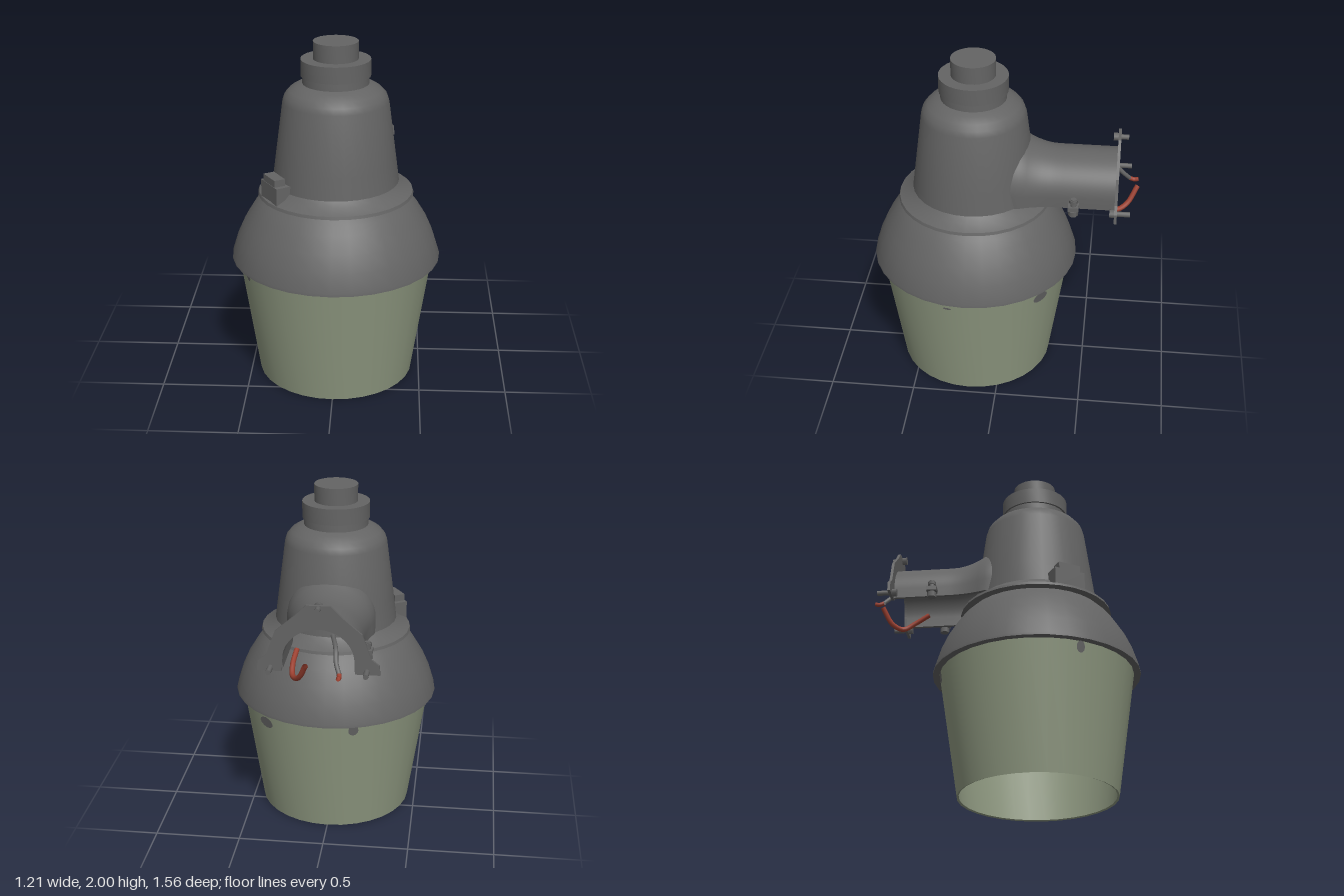
import * as THREE from 'three';
import { toCreasedNormals } from 'three/addons/utils/BufferGeometryUtils.js';

const AXIS_Z = 0.17; // the lamp body turns around x = 0, z = AXIS_Z

function material(name, color, side = THREE.DoubleSide) {
  const m = new THREE.MeshStandardMaterial({ color, side });
  m.name = name;
  return m;
}

export function createModel() {
  const root = new THREE.Group();
  root.name = 'yardLamp';
  const grey = material('grey metal', 0x646464);
  const green = material('green glass', 0x8e9880);
  const red = material('red wire', 0x9c4030);

  function add(name, geometry, mat, x = 0, y = 0, z = 0, parent = root) {
    const mesh = new THREE.Mesh(geometry, mat);
    mesh.name = name;
    mesh.position.set(x, y, z);
    parent.add(mesh);
    return mesh;
  }

  function lathe(name, profile, mat) {
    const pts = profile.map(([r, y]) => new THREE.Vector2(r, y));
    add(name, toCreasedNormals(new THREE.LatheGeometry(pts, 32), 0.6), mat, 0, 0, AXIS_Z);
  }

  // Glass shade, open at the bottom
  lathe('glassShade', [[0.555, 0.74], [0.443, 0.005], [0.455, 0], [0.567, 0.74]], green);

  // Bell-shaped lower housing with a rolled lip
  lathe('lowerHousing', [[0.55, 0.745], [0.565, 0.728], [0.605, 0.728], [0.603, 0.745], [0.57, 0.85],
    [0.53, 0.94], [0.475, 1.03], [0.44, 1.075], [0.4, 1.115]], grey);

  // Tapered upper housing with its flange
  lathe('upperHousing', [[0.4, 1.113], [0.447, 1.115], [0.442, 1.132], [0.39, 1.16], [0.362, 1.19],
    [0.345, 1.32], [0.3, 1.66], [0.288, 1.695], [0.262, 1.725], [0.22, 1.75], [0.188, 1.762],
    [0.186, 1.81]], grey);

  // Sensor collar and cap
  lathe('collar', [[0.186, 1.805], [0.197, 1.805], [0.197, 1.9], [0.12, 1.9]], grey);
  lathe('cap', [[0.127, 1.895], [0.127, 2], [0, 2]], grey);

  // Arm: an inverted channel which widens where it meets the housing
  const arch = new THREE.Shape();
  arch.moveTo(0.215, 1.19);
  arch.lineTo(0.215, 1.25);
  arch.absellipse(0, 1.25, 0.215, 0.2, 0, Math.PI, false);
  arch.lineTo(-0.215, 1.19);
  arch.lineTo(-0.195, 1.19);
  arch.lineTo(-0.195, 1.25);
  arch.absellipse(0, 1.25, 0.195, 0.18, Math.PI, 0, true);
  arch.lineTo(0.195, 1.19);
  const armGeo = new THREE.ExtrudeGeometry(arch, { depth: 0.67, steps: 16, bevelEnabled: false, curveSegments: 20 });
  armGeo.translate(0, 0, -0.652);
  const p = armGeo.attributes.position;
  for (let i = 0; i < p.count; i++) {
    const t = THREE.MathUtils.clamp((p.getZ(i) + 0.32) / 0.22, 0, 1);
    p.setX(i, p.getX(i) * (1 + 0.2 * t * t));
    p.setY(i, 1.19 + (p.getY(i) - 1.19) * (1 + 0.3 * t * t));
  }
  add('arm', toCreasedNormals(armGeo, 0.6), grey);

  // Mounting plate: an arch with two feet
  const plate = new THREE.Shape();
  const half = [[0.335, 1.18], [0.33, 1.235], [0.285, 1.27], [0.235, 1.41], [0.13, 1.5], [0.065, 1.565]];
  plate.moveTo(...half[0]);
  half.slice(1).forEach(([x, y]) => plate.lineTo(x, y));
  [...half].reverse().forEach(([x, y]) => plate.lineTo(-x, y));
  plate.lineTo(-0.2, 1.18);
  plate.lineTo(-0.195, 1.25);
  plate.absellipse(0, 1.25, 0.195, 0.18, Math.PI, 0, true);
  plate.lineTo(0.2, 1.18);
  const plateGeo = new THREE.ExtrudeGeometry(plate, { depth: 0.016, bevelEnabled: false, curveSegments: 20 });
  add('mountingPlate', plateGeo, grey, 0, 0, -0.667);

  // Plate bolts
  for (const [x, y, end] of [[-0.262, 1.2, -0.74], [0.262, 1.2, -0.74], [0, 1.55, -0.71]]) {
    const bolt = new THREE.Group();
    bolt.name = 'plateBolt';
    root.add(bolt);
    const length = -0.63 - end;
    add('boltShaft', new THREE.CylinderGeometry(0.015, 0.015, length, 10), grey, x, y, end + length / 2, bolt).rotation.x = Math.PI / 2;
    add('boltHead', new THREE.CylinderGeometry(0.025, 0.025, 0.028, 6), grey, x, y, -0.638, bolt).rotation.x = Math.PI / 2;
  }

  // Clamp lugs and screws on both sides of the arm
  for (const side of [-1, 1]) {
    const clamp = new THREE.Group();
    clamp.name = 'armClamp';
    root.add(clamp);
    add('clampLug', new THREE.BoxGeometry(0.075, 0.025, 0.06), grey, side * 0.235, 1.215, -0.42, clamp);
    add('clampScrew', new THREE.CylinderGeometry(0.017, 0.017, 0.1, 10), grey, side * 0.245, 1.222, -0.42, clamp);
    add('clampNut', new THREE.CylinderGeometry(0.028, 0.028, 0.03, 6), grey, side * 0.245, 1.18, -0.42, clamp);
    add('clampHead', new THREE.CylinderGeometry(0.024, 0.024, 0.02, 6), grey, side * 0.245, 1.255, -0.42, clamp);
  }

  // Wires hanging out of the arm
  function wire(name, points, mat, radius = 0.013) {
    const curve = new THREE.CatmullRomCurve3(points.map((q) => new THREE.Vector3(...q)));
    add(name, new THREE.TubeGeometry(curve, 20, radius, 8), mat);
  }
  wire('redWire', [[0.14, 1.24, -0.5], [0.15, 1.19, -0.59], [0.14, 1.15, -0.66], [0.1, 1.17, -0.72], [0.055, 1.265, -0.775]], red, 0.015);
  wire('greyWire', [[-0.06, 1.33, -0.5], [-0.09, 1.31, -0.63], [-0.1, 1.25, -0.69], [-0.12, 1.205, -0.73]], grey);
  wire('wireTip', [[-0.12, 1.205, -0.73], [-0.123, 1.195, -0.755], [-0.12, 1.2, -0.78]], red);

  // Latch block on the flange, turned to face outwards
  const latch = new THREE.Group();
  latch.name = 'latch';
  latch.position.set(0, 0, AXIS_Z);
  latch.rotation.y = Math.atan2(-0.335, 0.21);
  root.add(latch);
  add('latchBase', new THREE.BoxGeometry(0.19, 0.12, 0.13), grey, 0, 1.175, 0.365, latch);
  add('latchTab', new THREE.BoxGeometry(0.135, 0.05, 0.065), grey, 0, 1.25, 0.395, latch);

  // Dark patches on the glass: [x, z] direction from the axis, height, width, tallness
  for (const [dx, dz, y, w, h] of [[0.37, -0.43, 0.655, 0.11, 0.07], [-0.16, -0.53, 0.69, 0.06, 0.07],
    [-0.48, 0.28, 0.695, 0.05, 0.07], [0.55, 0.1, 0.67, 0.05, 0.015]]) {
    const angle = Math.atan2(dx, dz);
    const r = 0.455 + 0.112 * (y / 0.74) + 0.003;
    const patch = add('glassPatch', new THREE.CircleGeometry(0.5, 12), grey, Math.sin(angle) * r, y, AXIS_Z + Math.cos(angle) * r);
    patch.rotation.set(0.15, angle, 0, 'YXZ');
    patch.scale.set(w, h, 1);
  }

  return root;
}
